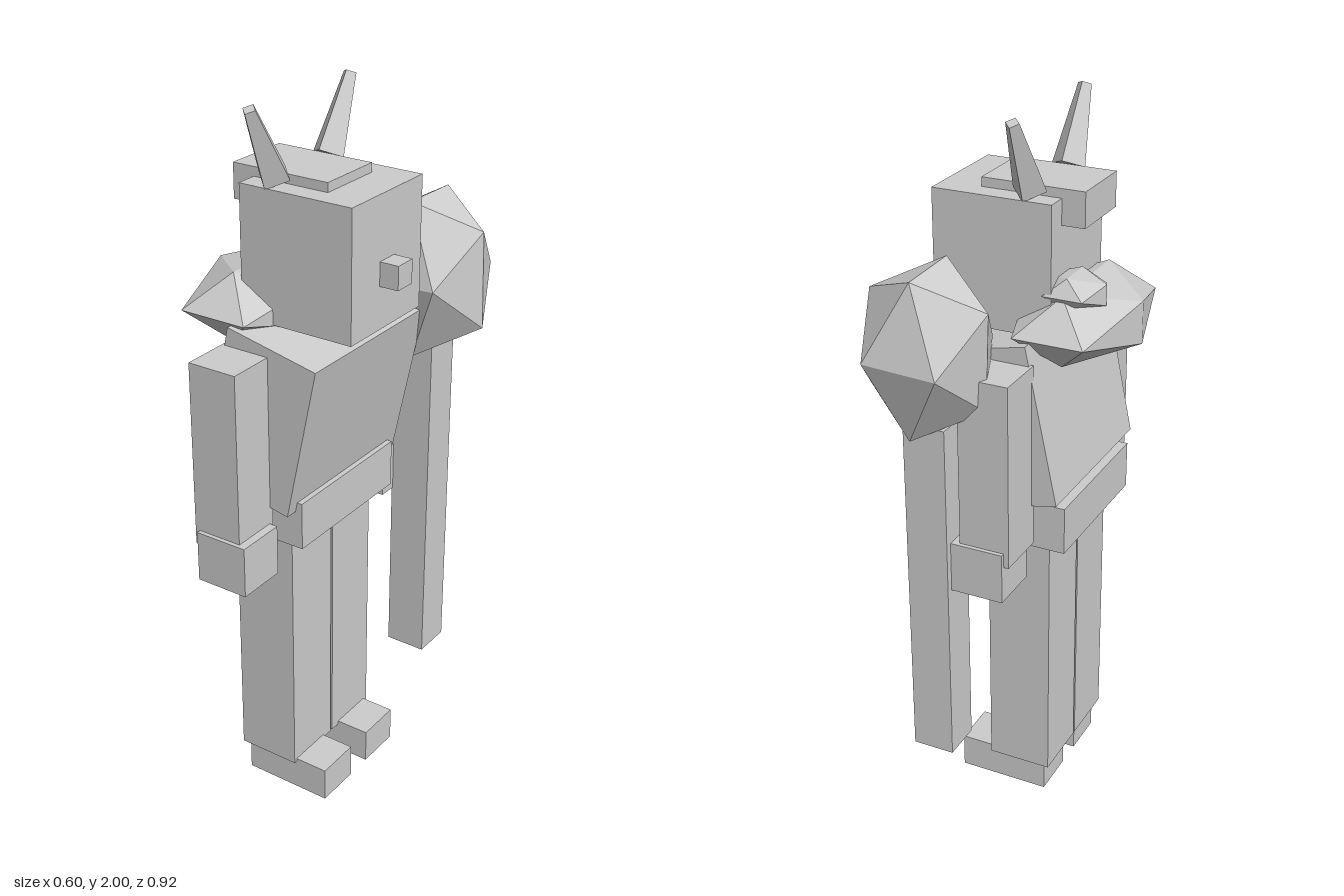
import * as THREE from 'three';

export function createModel() {
  const model = new THREE.Group();
  model.name = 'hornedFigure';

  const grey = new THREE.MeshStandardMaterial({ color: 0xcccccc, flatShading: true });
  grey.name = 'lightGrey';

  function add(name, geometry, parent = model) {
    const mesh = new THREE.Mesh(geometry, grey);
    mesh.name = name;
    parent.add(mesh);
    return mesh;
  }

  // Box given by its [min, max] range on each axis
  function box(name, [x0, x1], [y0, y1], [z0, z1]) {
    const mesh = add(name, new THREE.BoxGeometry(x1 - x0, y1 - y0, z1 - z0));
    mesh.position.set((x0 + x1) / 2, (y0 + y1) / 2, (z0 + z1) / 2);
    return mesh;
  }

  // Stretched icosahedron with its top edge running along z
  function lump(name, centre, radii, tilt = [0, 0, 0]) {
    const geometry = new THREE.IcosahedronGeometry(1, 0);
    geometry.rotateY(Math.PI / 2).scale(...radii);
    const mesh = add(name, geometry);
    mesh.position.set(...centre);
    mesh.rotation.set(...tilt);
    return mesh;
  }

  // Four-sided horn from a wide base to a narrow tip
  function horn(name, base, tip) {
    const from = new THREE.Vector3(...base);
    const axis = new THREE.Vector3(...tip).sub(from);
    const geometry = new THREE.CylinderGeometry(0.019, 0.047, axis.length(), 4);
    const mesh = add(name, geometry);
    mesh.position.copy(from).addScaledVector(axis, 0.5);
    mesh.quaternion.setFromUnitVectors(new THREE.Vector3(0, 1, 0), axis.normalize());
    return mesh;
  }

  // Head, nose and cap (the figure looks along +x)
  box('head', [-0.116, 0.218], [1.43, 1.785], [-0.098, 0.217]);
  box('nose', [0.2, 0.272], [1.547, 1.612], [0.028, 0.092]);
  box('cap', [-0.18, 0.107], [1.715, 1.81], [-0.038, 0.156]);

  // Horns, mirrored about the middle of the head
  const middle = 0.06;
  for (const [name, s] of [['leftHorn', 1], ['rightHorn', -1]]) {
    horn(name, [-0.037, 1.802, middle + s * 0.115], [-0.037, 1.992, middle + s * 0.212]);
  }

  // Leaning torso and belt
  const torso = box('torso', [-0.137, 0.137], [0.975, 1.418], [-0.193, 0.314]);
  torso.rotation.z = -0.205;
  box('belt', [-0.185, 0.11], [0.845, 0.98], [-0.152, 0.278]);

  // Arms and hands
  for (const [side, arm, hand] of [
    ['left', [0.302, 0.447], [0.317, 0.459]],
    ['right', [-0.329, -0.18], [-0.341, -0.192]],
  ]) {
    box(side + 'Arm', [-0.108, 0.034], [0.875, 1.39], arm);
    box(side + 'Hand', [-0.094, 0.058], [0.773, 0.916], hand);
  }

  // Legs and feet
  for (const [side, leg, foot] of [
    ['left', [0.066, 0.248], [0.105, 0.238]],
    ['right', [-0.124, 0.058], [-0.109, 0.026]],
  ]) {
    box(side + 'Leg', [-0.129, 0.055], [0.09, 0.86], leg);
    box(side + 'Foot', [-0.11, 0.154], [0, 0.1], foot);
  }

  // Faceted lumps on the back of the neck
  lump('neckRuff', [-0.141, 1.45, 0.066], [0.188, 0.113, 0.286]);
  lump('ruffKnot', [-0.147, 1.545, -0.022], [0.104, 0.054, 0.094]);

  // Club carried beside the right arm
  lump('clubHead', [0.124, 1.44, -0.306], [0.195, 0.255, 0.181], [-0.03, 0, 0.05]);
  box('clubHandle', [0.055, 0.174], [0.248, 1.25], [-0.361, -0.246]);

  return model;
}
